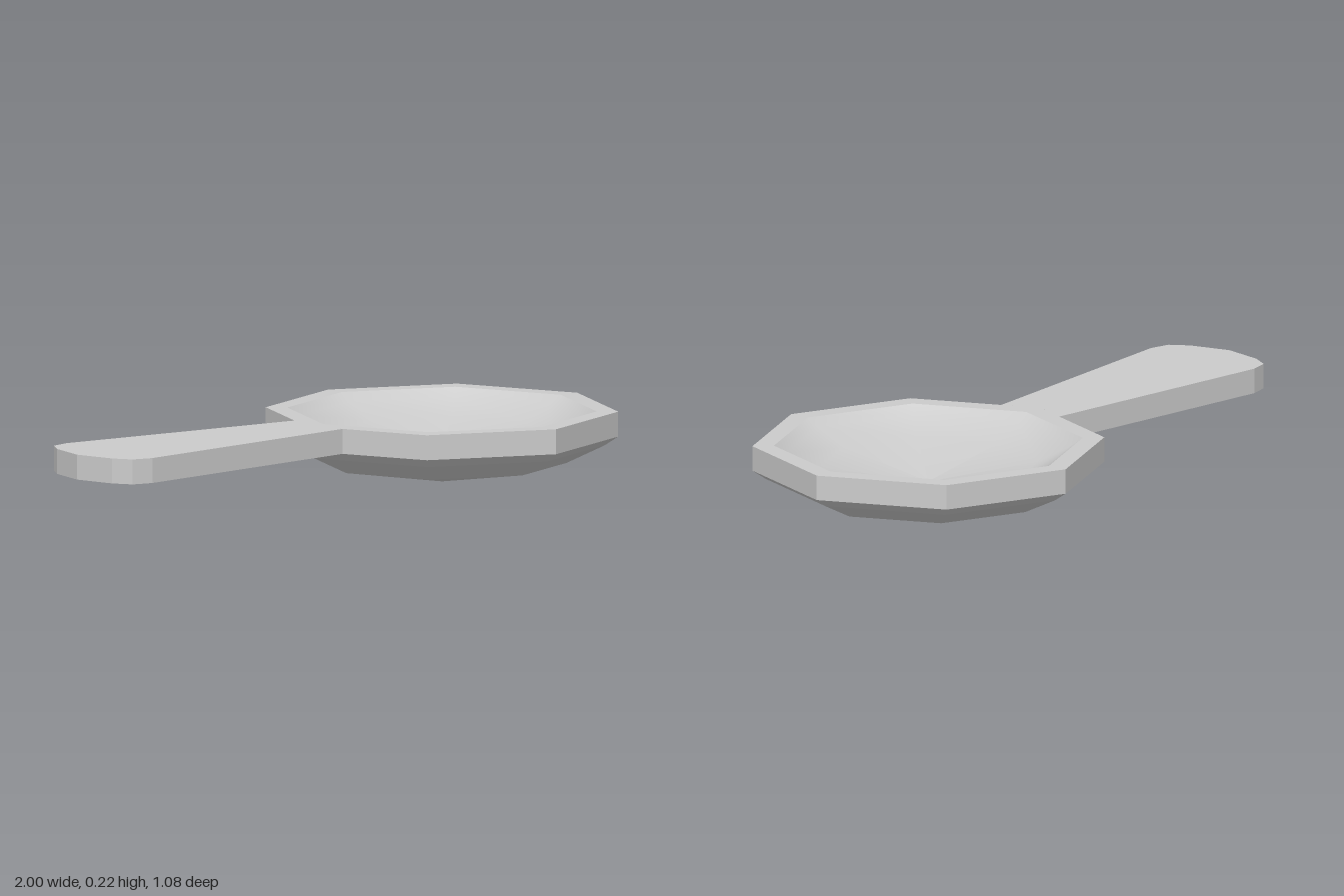
import * as THREE from 'three';

const SIDES = 8, CX = 0.457, BASE = 0.145, TOP = 0.222;

function lathe(name, points, flatShading) {
  const profile = points.map(([r, y]) => new THREE.Vector2(r, y));
  const mesh = new THREE.Mesh(
    new THREE.LatheGeometry(profile, SIDES),
    new THREE.MeshStandardMaterial({ color: 0xcccccc, flatShading })
  );
  mesh.name = name;
  mesh.position.x = CX;
  return mesh;
}

export function createModel() {
  const group = new THREE.Group();
  group.name = 'scoop';

  // Faceted underside, upright rim wall and flat rim top
  group.add(lathe('bowlShell', [
    [0, 0], [0.382, 0.062], [0.499, 0.118], [0.54, BASE], [0.54, TOP], [0.474, TOP],
  ], true));

  // Smooth hollow inside the rim
  group.add(lathe('bowlInside', [
    [0.474, TOP], [0.437, 0.198], [0.335, 0.15], [0, 0.097],
  ], false));

  // Flared handle, mirrored about its centre line and notched to fit the rim
  const half = [[-0.036, 0.114], [-0.87, 0.203], [-0.935, 0.187], [-0.97, 0.13]];
  const outline = [
    [-0.083, 0], ...half, [-1, 0],
    ...half.slice().reverse().map(([x, z]) => [x, -z]),
  ];
  const shape = new THREE.Shape(outline.map(([x, z]) => new THREE.Vector2(x, z)));
  const geometry = new THREE.ExtrudeGeometry(shape, { depth: TOP - BASE, bevelEnabled: false });
  geometry.rotateX(-Math.PI / 2).translate(0, BASE, 0);
  const handle = new THREE.Mesh(
    geometry,
    new THREE.MeshStandardMaterial({ color: 0xcccccc, flatShading: true })
  );
  handle.name = 'handle';
  group.add(handle);

  return group;
}
